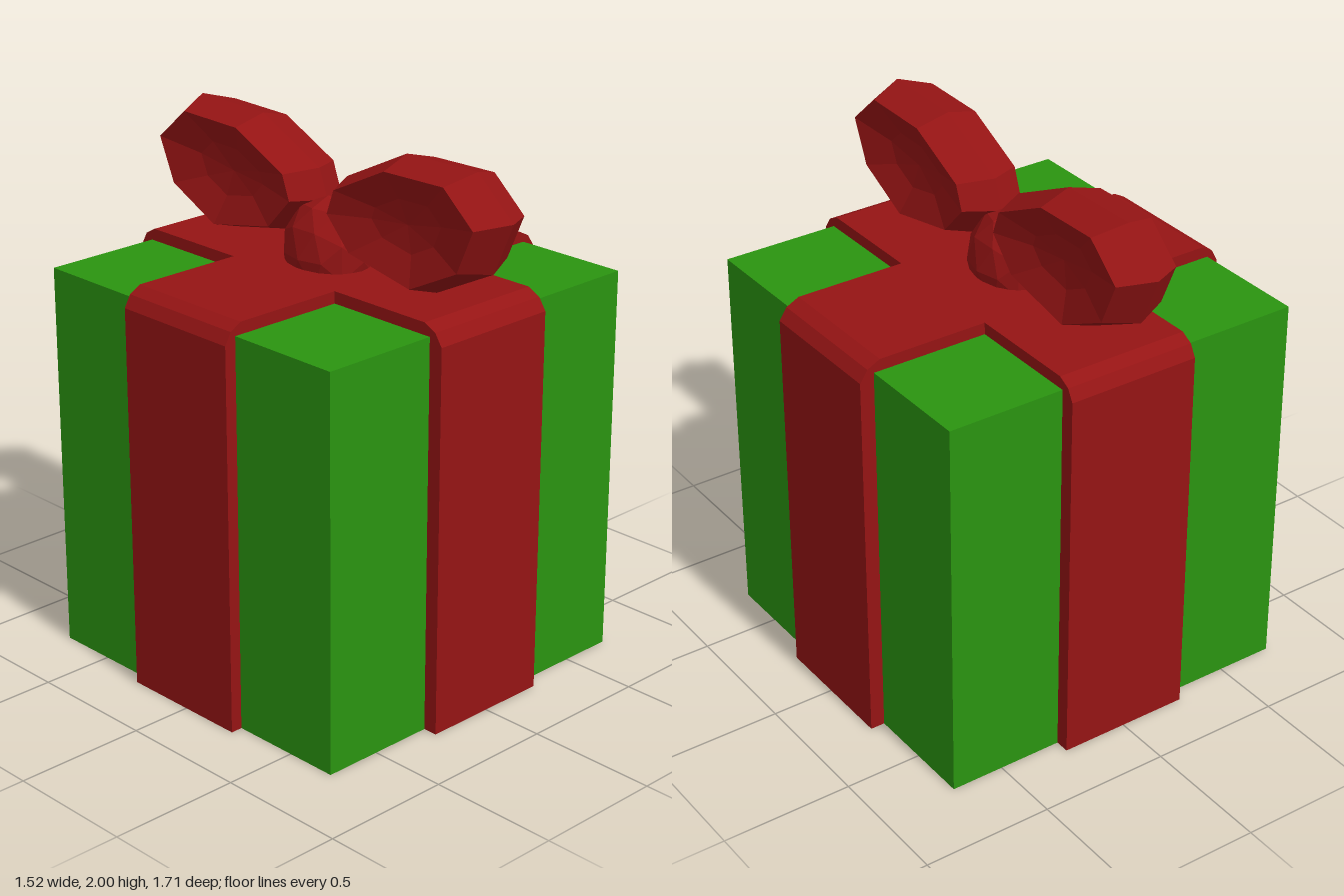
import * as THREE from 'three';

const green = new THREE.MeshStandardMaterial({ color: 0x2a9410, flatShading: true });
const red = new THREE.MeshStandardMaterial({ color: 0x951414, flatShading: true });

function part(name, geometry, material, parent) {
  const mesh = new THREE.Mesh(geometry, material);
  mesh.name = name;
  parent.add(mesh);
  return mesh;
}

// Ribbon strap: an upside-down U with bevelled shoulders, extruded to its width
function strap(outer, innerMin, innerMax, width) {
  const points = [
    [innerMin, 0], [outer[0], 0], ...[[0, 1.455], [0.025, 1.5], [0.07, 1.525]].map(([d, y]) => [outer[0] + d, y]),
    ...[[0.08, 1.525], [0.03, 1.5], [0, 1.455]].map(([d, y]) => [outer[1] - d, y]), [outer[1], 0],
    [innerMax, 0], [innerMax, 1.47], [innerMin, 1.47],
  ].map(([u, y]) => new THREE.Vector2(u, y));
  return new THREE.ExtrudeGeometry(new THREE.Shape(points), { depth: width, bevelEnabled: false });
}

// Bow loop: one outline repeated as rings across x, with a ridge and dished sides
function bowLoop() {
  const outline = [[0.855, 1.855], [0.69, 2.0], [0.36, 1.993], [0.07, 1.85],
    [0.03, 1.74], [0.16, 1.6], [0.51, 1.53], [0.77, 1.66]];
  const cz = 0.44, cy = 1.775, n = outline.length;
  const rings = [[0.085, 0.4], [0.125, 0.84], [0, 1], [-0.125, 0.84], [-0.085, 0.4]].map(([x, s]) =>
    outline.map(([z, y]) => [x, cy + (y - cy) * s, cz + (z - cz) * s]));
  const pos = [];
  const tri = (...corners) => corners.forEach((c) => pos.push(...c));
  for (let i = 0; i < n; i++) {
    const j = (i + 1) % n;
    for (let r = 0; r < rings.length - 1; r++) {
      tri(rings[r][i], rings[r][j], rings[r + 1][i]);
      tri(rings[r][j], rings[r + 1][j], rings[r + 1][i]);
    }
    tri([0.075, cy, cz], rings[0][j], rings[0][i]);
    tri([-0.075, cy, cz], rings[4][i], rings[4][j]);
  }
  const geometry = new THREE.BufferGeometry();
  geometry.setAttribute('position', new THREE.Float32BufferAttribute(pos, 3));
  geometry.computeVertexNormals();
  return geometry;
}

export function createModel() {
  const model = new THREE.Group();
  model.name = 'giftBox';

  // Box
  part('box', new THREE.BoxGeometry(1.425, 1.48, 1.425), green, model).position.set(-0.0075, 0.74, -0.0125);

  // Crossing ribbons
  const across = strap([-0.765, 0.76], -0.715, 0.7, 0.52);
  across.translate(0, 0, -0.275);
  part('ribbonAcross', across, red, model);
  const along = strap([-0.78, 0.755], -0.72, 0.695, 0.515);
  along.rotateY(-Math.PI / 2).translate(0.255, 0, 0);
  part('ribbonAlong', along, red, model);

  // Bow: two loops and a knot
  const bow = new THREE.Group();
  bow.name = 'bow';
  bow.position.x = -0.03;
  model.add(bow);
  const loop = bowLoop();
  part('frontLoop', loop, red, bow);
  part('backLoop', loop, red, bow).rotation.y = Math.PI;
  const knot = part('knot', new THREE.IcosahedronGeometry(1, 1), red, bow);
  knot.scale.set(0.15, 0.205, 0.18);
  knot.position.set(-0.015, 1.56, -0.01);

  return model;
}
